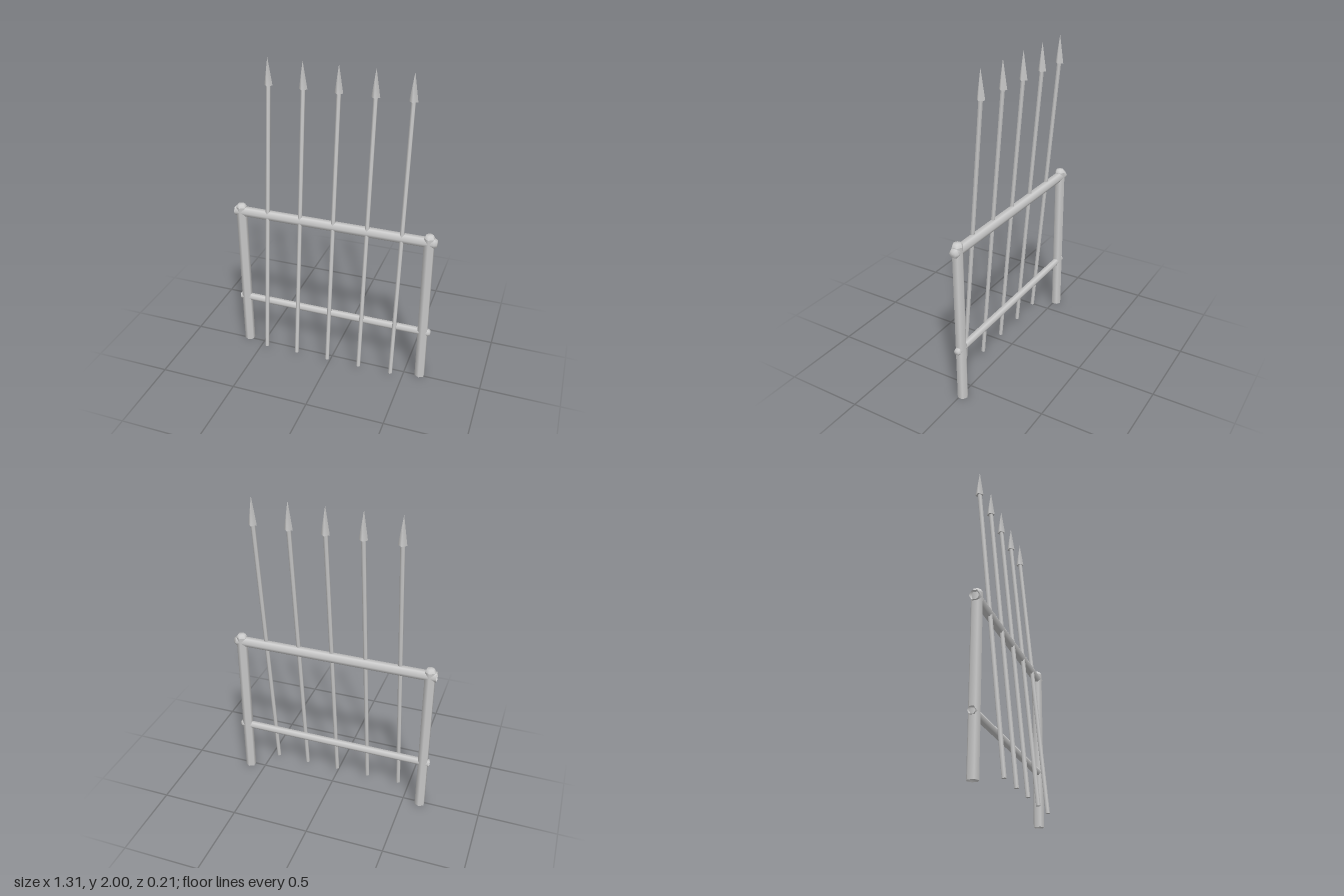
import * as THREE from 'three';

const material = new THREE.MeshStandardMaterial({ color: 0xcccccc, side: THREE.DoubleSide });
const UP = new THREE.Vector3(0, 1, 0);

function addMesh(parent, geometry, name) {
  const mesh = new THREE.Mesh(geometry, material);
  mesh.name = name;
  parent.add(mesh);
  return mesh;
}

// Six-sided pole standing on its origin: hollowed foot, smooth sides, softly domed top
function addPole(parent, name, radius, length) {
  const pole = new THREE.Group();
  pole.name = name;
  const r = radius, c = radius * 0.6, inner = radius * 0.7;
  const shell = (points, part) =>
    addMesh(pole, new THREE.LatheGeometry(points.map(([x, y]) => new THREE.Vector2(x, y)), 6), part);
  shell([[r, 0], [r, length - c]], 'shaft');
  shell([[r, length - c], [inner, length - c * 0.1], [0, length]], 'domedTop');
  shell([[0, c], [inner, c * 0.9], [r, 0]], 'hollowFoot');
  parent.add(pole);
  return pole;
}

// Spear: thin leaning shaft carrying an upright four-sided head
function addSpear(parent, x) {
  const headHeight = 0.168;
  const foot = new THREE.Vector3(x - 0.016, 0.047, 0.092);
  const neck = new THREE.Vector3(x, 2 - headHeight + 0.015, -0.08);
  const length = foot.distanceTo(neck);
  const spear = new THREE.Group();
  spear.name = 'spear';

  const shaft = addMesh(spear, new THREE.CylinderGeometry(0.0135, 0.0135, length, 6), 'spearShaft');
  shaft.position.lerpVectors(foot, neck, 0.5);
  shaft.quaternion.setFromUnitVectors(UP, neck.clone().sub(foot).normalize());

  const head = addMesh(spear, new THREE.ConeGeometry(0.026, headHeight, 4), 'spearHead');
  head.position.set(x, 2 - headHeight / 2, -0.081);
  parent.add(spear);
}

export function createModel() {
  const model = new THREE.Group();
  model.name = 'spearFence';
  const z = -0.011;

  // Upright posts
  for (const [x, name] of [[-0.614, 'rightPost'], [0.603, 'leftPost']]) {
    addPole(model, name, 0.034, 1.055).position.set(x, 0, z);
  }

  // Cross rails, running through both posts
  for (const [y, radius, name] of [[1.004, 0.032, 'topRail'], [0.35, 0.024, 'lowerRail']]) {
    const rail = addPole(model, name, radius, 1.308);
    rail.position.set(-0.655, y, z);
    rail.rotation.z = -Math.PI / 2;
  }

  // Row of spears leaning back against the top rail
  for (let i = -2; i <= 2; i++) addSpear(model, 0.012 + i * 0.217);

  return model;
}
